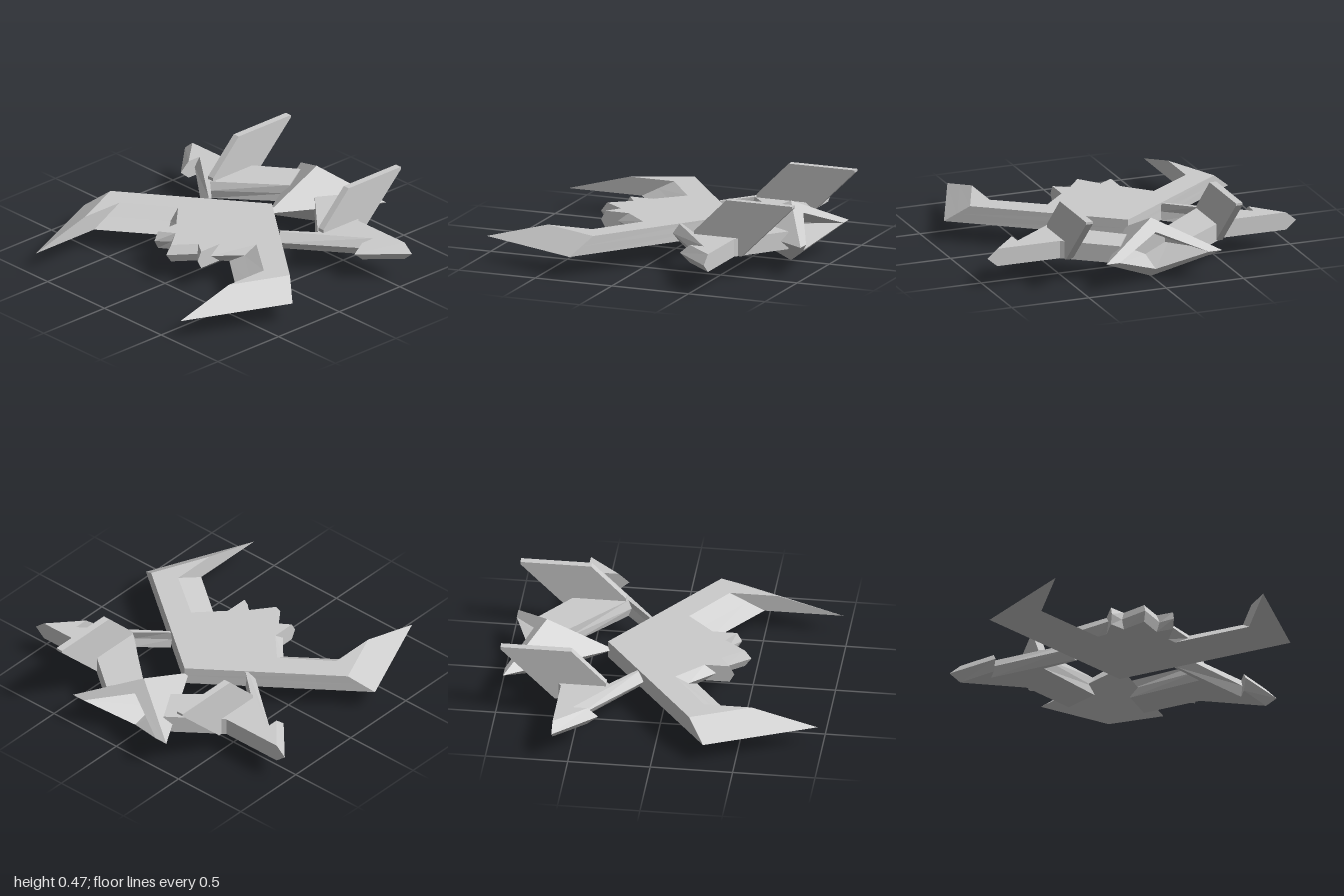
import * as THREE from 'three';

const material = new THREE.MeshStandardMaterial({ color: 0xcccccc, flatShading: true, side: THREE.DoubleSide });
const BOTTOM = 0.13, MIDDLE = 0.185, TOP = 0.24;

// Joins successive rings of [x, y, z] points with side faces
function stitch(rings, out = []) {
  for (let r = 0; r + 1 < rings.length; r++) {
    const low = rings[r], high = rings[r + 1], n = low.length;
    for (let i = 0; i < n; i++) {
      const j = (i + 1) % n;
      out.push(low[i], low[j], high[j], low[i], high[j], high[i]);
    }
  }
  return out;
}

function toMesh(points, name) {
  const geometry = new THREE.BufferGeometry();
  geometry.setAttribute('position', new THREE.Float32BufferAttribute(points.flat(), 3));
  geometry.computeVertexNormals();
  const mesh = new THREE.Mesh(geometry, material);
  mesh.name = name;
  return mesh;
}

// Flat slab lofted through plan outlines of [x, z] points, from bottom to top
function slab(outlines, name) {
  const flat = (o) => o.map(([x, z]) => new THREE.Vector2(x, -z));
  if (THREE.ShapeUtils.isClockWise(flat(outlines[0]))) outlines = outlines.map((o) => [...o].reverse());
  const heights = [BOTTOM, MIDDLE, TOP];
  const rings = outlines.map((o, k) => o.map(([x, z]) => [x, heights[k], z]));
  const points = stitch(rings);
  const cap = (k, flip) => {
    for (const f of THREE.ShapeUtils.triangulateShape(flat(outlines[k]), [])) {
      const face = f.map((i) => rings[k][i]);
      points.push(...(flip ? face.reverse() : face));
    }
  };
  cap(0, true);
  cap(2, false);
  return toMesh(points, name);
}

const mirrorZ = (outline) => outline.map(([x, z]) => [x, -z]);

// Completes a half outline whose first and last points lie on the centre line
const symmetric = (half) => [...half, ...mirrorZ(half.slice(1, -1)).reverse()];

export function createModel() {
  const model = new THREE.Group();

  // Swept main wing with sloping tips and a stepped, bevelled centre
  const centreEdge = [[-0.23, -0.19], [-0.38, -0.19], [-0.32, -0.1], [-0.45, 0]];
  const wingBottom = [[0.38, 0], [-0.31, -0.92], [-0.97, -0.635], [-0.49, -0.635], [-0.19, -0.235], ...centreEdge];
  const wingMiddle = [[0.38, 0], [-0.26, -0.855], [-0.77, -0.635], [-0.385, -0.635], [-0.15, -0.325],
    [-0.3, -0.19], [-0.41, -0.19], [-0.34, -0.115], [-0.49, 0]];
  const wingTop = [[0.38, 0], [-0.21, -0.79], [-0.57, -0.635], [-0.28, -0.635], [-0.07, -0.345], ...centreEdge];
  model.add(slab([wingBottom, wingMiddle, wingTop].map(symmetric), 'mainWing'));

  // Barbed tail wings, bevelled along their leading edges
  const inner = [[0.6, -0.53], [0.83, -0.23], [0.63, -0.11]];
  const tailFlat = [[0.155, -0.315], [0.5, -0.765], [0.41, -0.765], [0.6, -0.935], ...inner,
    [0.315, -0.475], [0.165, -0.3]];
  const tailMiddle = [[0.12, -0.34], [0.46, -0.765], [0.345, -0.765], [0.6, -1], ...inner,
    [0.295, -0.475], [0.155, -0.3]];
  const tail = [tailFlat, tailMiddle, tailFlat];
  model.add(slab(tail, 'rightTailWing'), slab(tail.map(mirrorZ), 'leftTailWing'));

  // Upright swept fins
  const finShape = new THREE.Shape([[0.33, 0.13], [0.64, 0.13], [0.97, 0.455], [0.97, 0.47], [0.54, 0.47], [0.33, 0.26]]
    .map(([x, y]) => new THREE.Vector2(x, y)));
  const finGeometry = new THREE.ExtrudeGeometry(finShape, { depth: 0.044, bevelEnabled: false });
  for (const side of [-1, 1]) {
    const fin = new THREE.Mesh(finGeometry, material);
    fin.position.z = side * 0.485 - 0.022;
    fin.name = side < 0 ? 'rightFin' : 'leftFin';
    model.add(fin);
  }

  // Diamond engine nozzle: pointed shell, swept rim and recessed floor
  const diamond = (xTop, xSide, h, w) =>
    [[xTop, MIDDLE + h, 0], [xSide, MIDDLE, w], [xTop, MIDDLE - h, 0], [xSide, MIDDLE, -w]];
  model.add(toMesh(stitch([
    diamond(0.34, 0.34, 0, 0),
    diamond(0.75, 0.97, 0.185, 0.375),
    diamond(0.83, 0.97, 0.117, 0.29),
    diamond(0.66, 0.66, 0.075, 0.155),
    diamond(0.66, 0.66, 0, 0),
  ]), 'engineNozzle'));

  return model;
}
